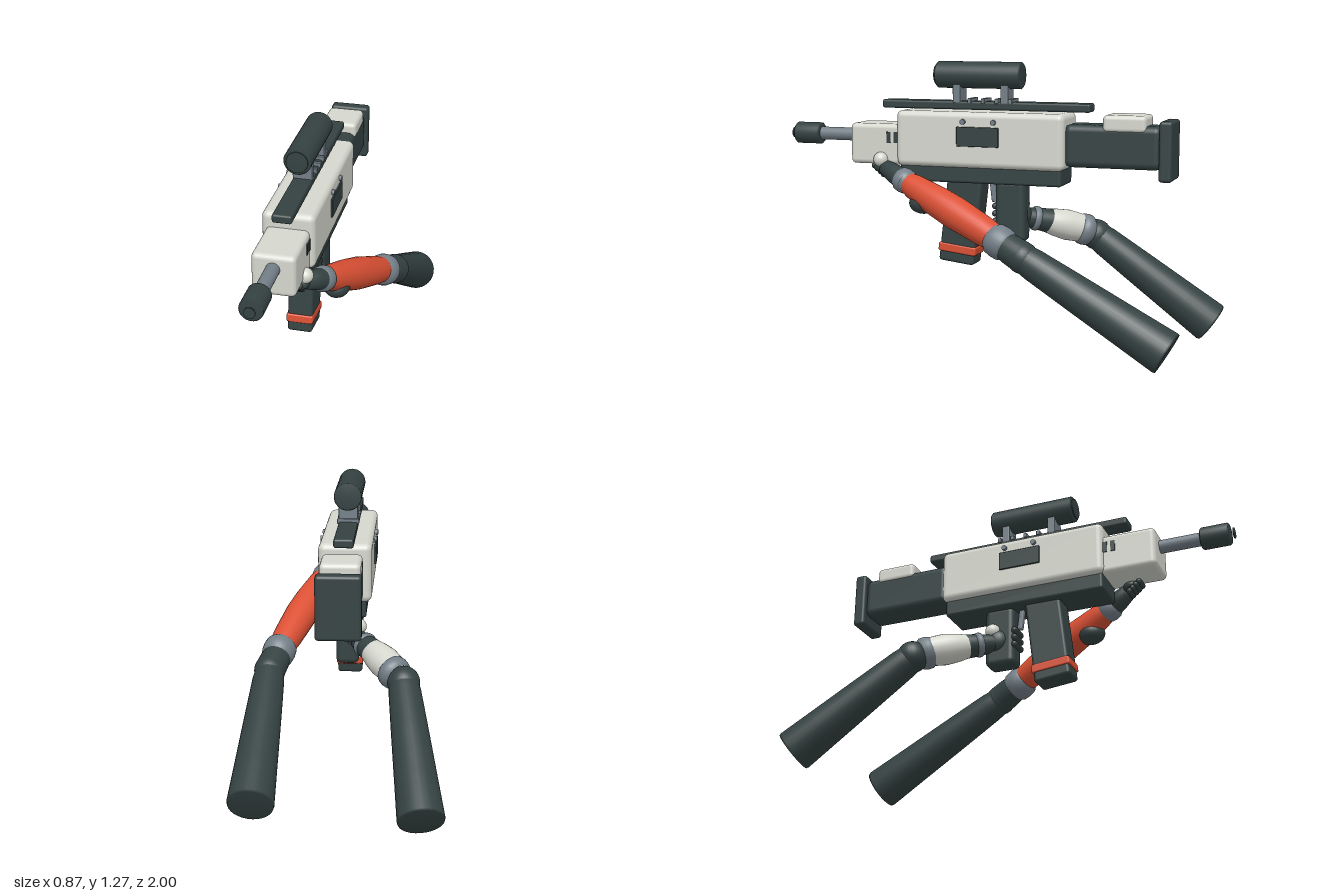
import * as THREE from 'three';
import { RoundedBoxGeometry } from 'three/addons/geometries/RoundedBoxGeometry.js';

const material = (name, color) => {
  const m = new THREE.MeshStandardMaterial({ color });
  m.name = name;
  return m;
};

export function createModel() {
  const dark = material('dark gunmetal', 0x354242);
  const white = material('off white shell', 0xd6d8cf);
  const orange = material('orange accent', 0xdb5034);
  const grey = material('steel grey', 0x747f88);
  const model = new THREE.Group();
  model.name = 'rifleWithArms';
  const CX = -0.01; // centre line of the rifle

  const add = (parent, name, geometry, mat, x = 0, y = 0, z = 0) => {
    const mesh = new THREE.Mesh(geometry, mat);
    mesh.name = name;
    mesh.position.set(x, y, z);
    parent.add(mesh);
    return mesh;
  };
  // Rounded box from its y and z ranges, centred on the rifle
  const block = (name, mat, w, y0, y1, z0, z1, r = 0.02, parent = model, x = CX) =>
    add(parent, name, new RoundedBoxGeometry(w, y1 - y0, z1 - z0, 4, r), mat, x, (y0 + y1) / 2, (z0 + z1) / 2);
  // Cylinder running along z
  const rod = (name, mat, r, y, z0, z1, bevel = 0.001) => {
    const l = z1 - z0;
    const pts = [[0, 0], [r - bevel, 0], [r, bevel], [r, l - bevel], [r - bevel, l], [0, l]];
    const g = new THREE.LatheGeometry(pts.map(p => new THREE.Vector2(...p)), 32);
    g.rotateX(Math.PI / 2);
    return add(model, name, g, mat, CX, y, z0);
  };
  // Turned limb between two points; profile holds [radius, fraction of length]
  const limb = (parent, name, mat, a, b, profile) => {
    const A = new THREE.Vector3(...a), d = new THREE.Vector3(...b).sub(A), l = d.length();
    const pts = profile.map(([r, t]) => new THREE.Vector2(r, t * l));
    const mesh = add(parent, name, new THREE.LatheGeometry(pts, 28), mat, ...a);
    mesh.quaternion.setFromUnitVectors(new THREE.Vector3(0, 1, 0), d.normalize());
    return mesh;
  };
  const ball = (parent, name, mat, p, r, sx = 1, sy = 1, sz = 1) => {
    const mesh = add(parent, name, new THREE.SphereGeometry(r, 24, 16), mat, ...p);
    mesh.scale.set(sx, sy, sz);
    return mesh;
  };

  // Rifle body
  block('receiver', white, 0.226, 0.815, 1.065, -0.355, 0.43, 0.028);
  block('handguard', white, 0.185, 0.815, 1.0, 0.38, 0.665, 0.022);
  block('lowerReceiver', dark, 0.18, 0.745, 0.83, -0.34, 0.42, 0.012);
  block('topRail', dark, 0.084, 1.07, 1.108, -0.455, 0.525, 0.01);
  rod('barrel', grey, 0.03, 0.94, 0.64, 0.87);
  rod('muzzle', dark, 0.05, 0.94, 0.852, 0.98, 0.006);
  rod('muzzleTip', dark, 0.024, 0.94, 0.994, 1.0);

  // Stock
  block('stock', dark, 0.155, 0.832, 1.02, -0.775, -0.345, 0.03);
  block('buttPad', dark, 0.182, 0.785, 1.045, -0.825, -0.768, 0.014);
  block('cheekRest', white, 0.165, 0.99, 1.065, -0.71, -0.52, 0.02);

  // Scope and its mounts
  rod('scope', dark, 0.06, 1.224, -0.135, 0.265, 0.006);
  rod('scopeLens', dark, 0.047, 1.224, 0.266, 0.272);
  for (const z of [0.163, -0.063]) block('scopeMount', grey, 0.084, 1.1, 1.19, z - 0.018, z + 0.018, 0.004);
  for (let i = 0; i < 4; i++) {
    const z = 0.1 - i * 0.064;
    block('railTooth', grey, 0.096, 1.1, 1.122, z - 0.009, z + 0.009, 0.003);
  }

  // Side panels, bolts and vents, mirrored
  for (const s of [-1, 1]) {
    block('sidePanel', dark, 0.009, 0.913, 1.0, -0.062, 0.134, 0.003, model, CX + s * 0.1185);
    for (const z of [0.105, -0.037]) {
      const bolt = add(model, 'sideBolt', new THREE.CylinderGeometry(0.012, 0.012, 0.03, 16), grey, CX + s * 0.11, 1.022, z);
      bolt.rotation.z = Math.PI / 2;
    }
    for (const z of [0.473, 0.437])
      add(model, 'vent', new THREE.BoxGeometry(0.008, 0.05, 0.02), dark, CX + s * 0.0925, 0.94, z);
  }

  // Raked magazine with an orange band
  const magazine = new THREE.Group();
  magazine.name = 'magazine';
  magazine.position.set(CX, 0.76, 0.12);
  magazine.rotation.x = -0.115;
  model.add(magazine);
  block('magazineBody', dark, 0.112, -0.39, 0.02, -0.084, 0.084, 0.014, magazine, 0);
  block('magazineBand', orange, 0.12, -0.345, -0.305, -0.09, 0.09, 0.008, magazine, 0);

  // Grip and trigger
  block('grip', dark, 0.1, 0.48, 0.76, -0.16, -0.02, 0.025);
  const trigger = block('trigger', grey, 0.025, 0.655, 0.76, -0.012, 0.012, 0.006);
  trigger.rotation.x = 0.12;

  // Limb profiles
  const forearm = [[0.045, 0], [0.057, 0.1], [0.069, 0.35], [0.073, 0.55], [0.066, 0.85], [0.058, 1]];
  const ring = r => [[r * 0.8, 0], [r, 0.2], [r * 1.04, 0.5], [r, 0.8], [r * 0.8, 1]];
  const upperArm = [[0.062, 0], [0.069, 0.08], [0.079, 0.4], [0.089, 0.75], [0.096, 0.985], [0.093, 1], [0, 1]];

  // Left arm supporting the handguard
  const left = new THREE.Group();
  left.name = 'leftArm';
  model.add(left);
  limb(left, 'wrist', dark, [0.075, 0.805, 0.5], [0.14, 0.745, 0.36], [[0, 0], [0.035, 0.05], [0.045, 0.5], [0.05, 1]]);
  limb(left, 'wristRing', grey, [0.118, 0.763, 0.41], [0.137, 0.74, 0.345], ring(0.055));
  limb(left, 'forearm', orange, [0.13, 0.748, 0.37], [0.288, 0.54, -0.115], forearm);
  ball(left, 'forearmPad', dark, [0.165, 0.66, 0.27], 0.06, 0.95, 0.8, 1.1);
  limb(left, 'elbowRing', grey, [0.283, 0.55, -0.09], [0.306, 0.508, -0.175], ring(0.071));
  limb(left, 'elbowSleeve', dark, [0.295, 0.525, -0.14], [0.325, 0.475, -0.245], [[0.06, 0], [0.066, 0.5], [0.068, 1]]);
  ball(left, 'elbow', dark, [0.325, 0.474, -0.245], 0.069);
  limb(left, 'upperArm', dark, [0.325, 0.474, -0.245], [0.338, 0.114, -0.873], upperArm);
  ball(left, 'palm', dark, [0.06, 0.802, 0.51], 0.04, 1.1, 0.7, 1.1);
  ball(left, 'knuckleGuard', white, [0.085, 0.838, 0.512], 0.034);
  for (let i = 0; i < 4; i++) {
    const finger = add(left, 'finger', new THREE.CapsuleGeometry(0.014, 0.05, 4, 10), dark, 0.045, 0.807 - i * 0.013, 0.55 - i * 0.015);
    finger.rotation.z = Math.PI / 2;
  }

  // Right arm holding the grip
  const right = new THREE.Group();
  right.name = 'rightArm';
  model.add(right);
  ball(right, 'hand', dark, [-0.035, 0.6, -0.11], 0.055, 0.9, 1.1, 1.1);
  ball(right, 'knuckleGuard', white, [-0.06, 0.645, -0.12], 0.034);
  limb(right, 'wrist', dark, [-0.05, 0.59, -0.12], [-0.13, 0.56, -0.235], [[0.04, 0], [0.05, 0.5], [0.056, 1]]);
  limb(right, 'wristRing', grey, [-0.078, 0.58, -0.16], [-0.1, 0.572, -0.19], ring(0.054));
  limb(right, 'forearm', white, [-0.11, 0.568, -0.205], [-0.23, 0.515, -0.375], [[0.05, 0], [0.062, 0.25], [0.07, 0.55], [0.062, 1]]);
  limb(right, 'elbowRing', grey, [-0.2, 0.525, -0.345], [-0.24, 0.505, -0.395], ring(0.07));
  ball(right, 'elbow', dark, [-0.262, 0.487, -0.415], 0.07);
  limb(right, 'upperArm', dark, [-0.262, 0.487, -0.415], [-0.342, 0.092, -0.94], upperArm);

  // Loose finger wrap around the grip
  for (let i = 0; i < 3; i++) {
    const finger = add(right, 'finger', new THREE.CapsuleGeometry(0.015, 0.07, 4, 10), dark, -0.015, 0.64 - i * 0.034, -0.018);
    finger.rotation.z = Math.PI / 2;
  }
  return model;
}
